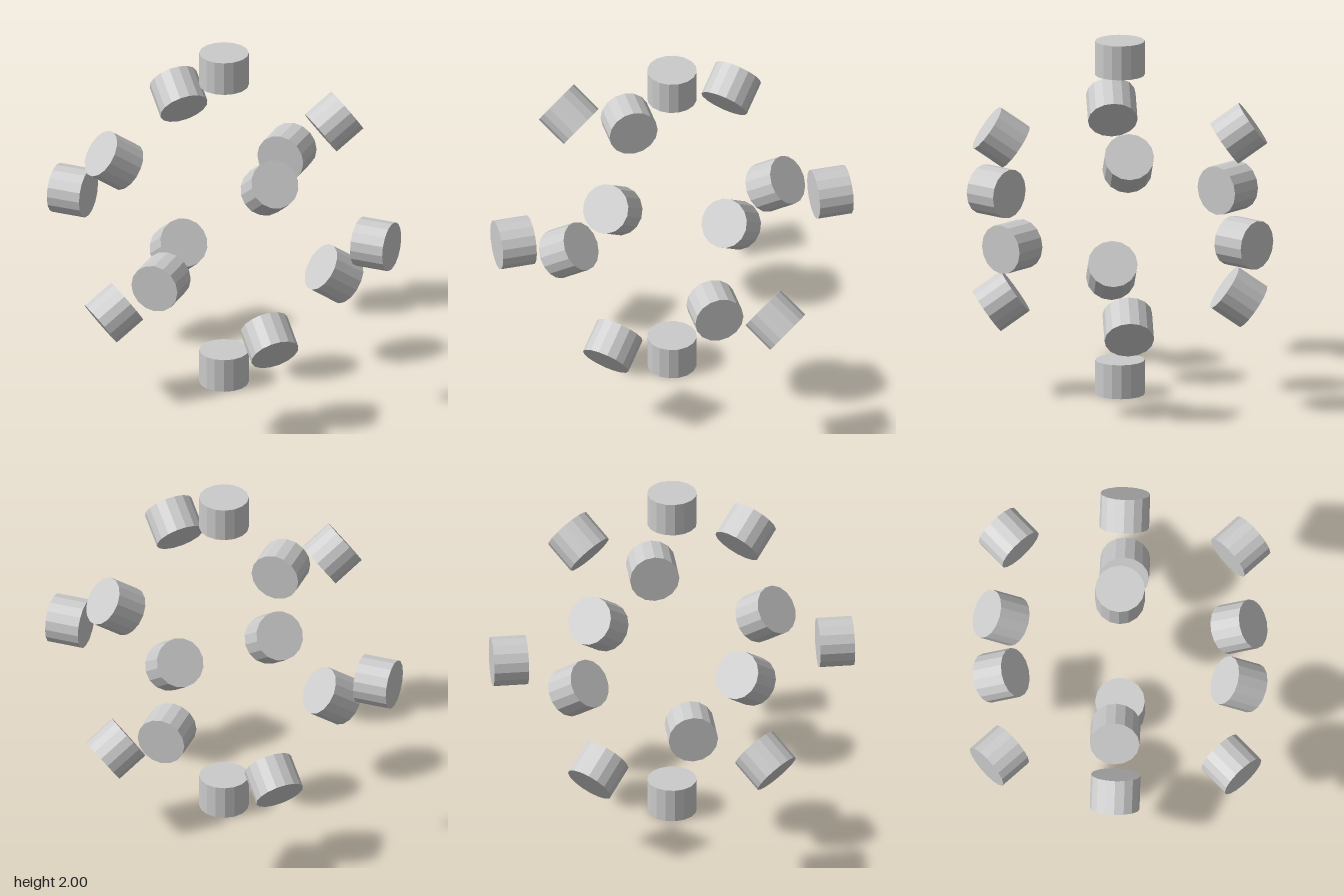
import * as THREE from 'three';

export function createModel() {
  const model = new THREE.Group();
  model.name = 'cylinderSphere';
  const material = new THREE.MeshStandardMaterial({ color: 0xcccccc, flatShading: true });
  const height = 0.192;
  const drum = new THREE.CylinderGeometry(0.137, 0.137, height, 16);
  const up = new THREE.Vector3(0, 1, 0);

  // A drum whose axis points away from the centre of the sphere
  function addDrum(name, azimuth, elevation, distance) {
    const direction = new THREE.Vector3(
      Math.cos(elevation) * Math.cos(azimuth),
      Math.sin(elevation),
      Math.cos(elevation) * Math.sin(azimuth)
    );
    const mesh = new THREE.Mesh(drum, material);
    mesh.name = name;
    mesh.quaternion.setFromUnitVectors(up, direction);
    mesh.position.copy(direction).multiplyScalar(distance);
    mesh.position.y += 1;
    model.add(mesh);
  }

  const faceDistance = 1 - height / 2;
  const cornerDistance = 0.803;
  const tilt = Math.atan(Math.SQRT1_2);

  // Poles
  addDrum('topDrum', 0, Math.PI / 2, faceDistance);
  addDrum('bottomDrum', 0, -Math.PI / 2, faceDistance);

  // Equator on the diagonals, tilted rings on the axes
  for (let i = 0; i < 4; i++) {
    const angle = (i * Math.PI) / 2;
    addDrum('equatorDrum' + (i + 1), angle + Math.PI / 4, 0, faceDistance);
    addDrum('upperDrum' + (i + 1), angle, tilt, cornerDistance);
    addDrum('lowerDrum' + (i + 1), angle, -tilt, cornerDistance);
  }
  return model;
}
